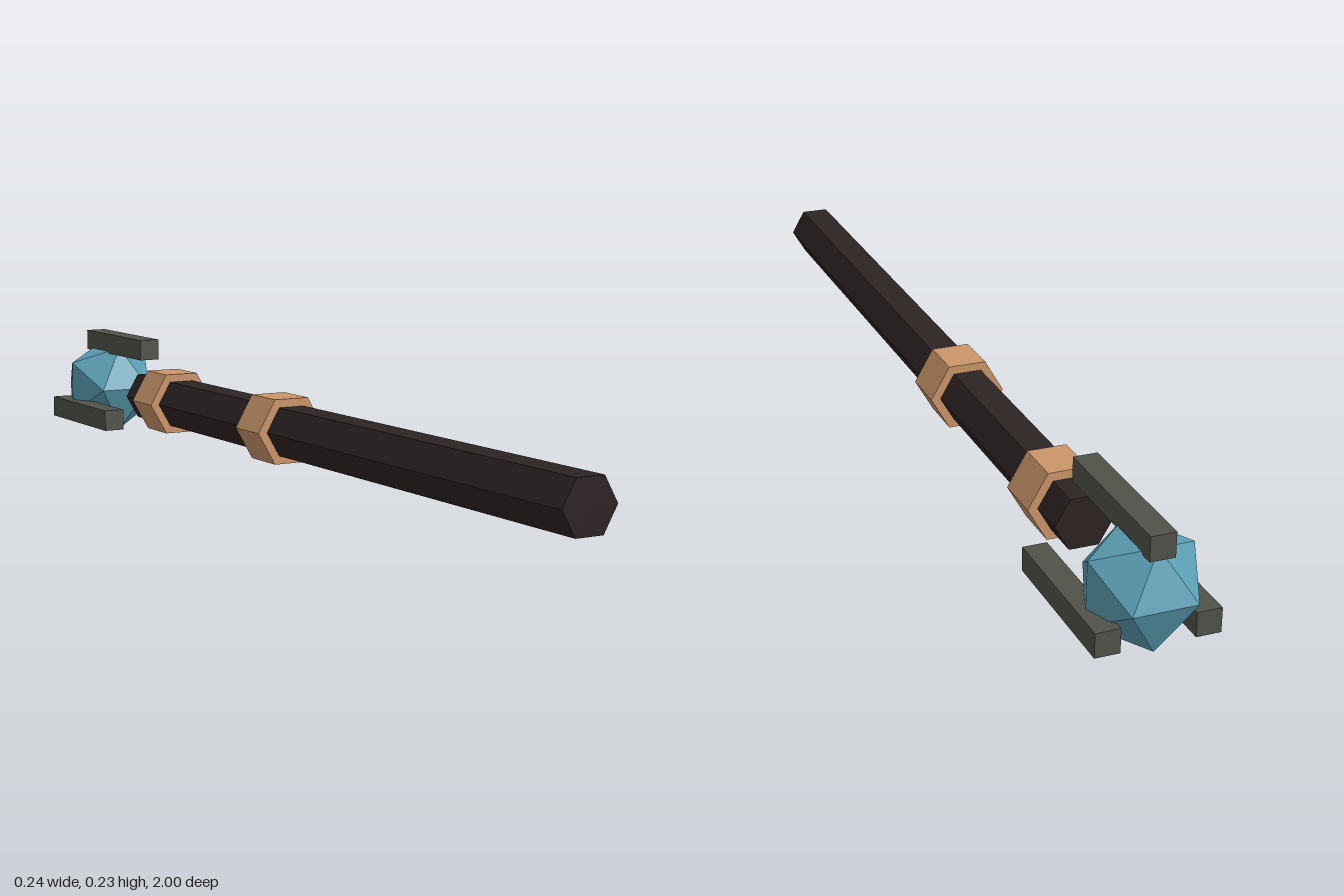
import * as THREE from 'three';

const AXIS_Y = 0.1;

function material(name, color) {
  const m = new THREE.MeshStandardMaterial({ color, flatShading: true });
  m.name = name;
  return m;
}

export function createModel() {
  const group = new THREE.Group();
  group.name = 'staff';

  const darkWood = material('darkWood', 0x2d2323);
  const copper = material('copper', 0xcb966a);
  const greyMetal = material('greyMetal', 0x50524a);
  const blueCrystal = material('blueCrystal', 0x5a9db3);

  function add(name, geometry, mat, x, y, z) {
    const mesh = new THREE.Mesh(geometry, mat);
    mesh.name = name;
    mesh.position.set(x, y, z);
    group.add(mesh);
  }

  // Hexagonal prism lying along z, with corners on the left and right
  function hexPrism(name, radius, zFront, zBack, mat) {
    const geometry = new THREE.CylinderGeometry(radius, radius, zFront - zBack, 6);
    geometry.rotateY(Math.PI / 2).rotateX(Math.PI / 2);
    add(name, geometry, mat, 0, AXIS_Y + 0.001, (zFront + zBack) / 2);
  }

  // Shaft and its two bands
  hexPrism('shaft', 0.059, 1, -0.672, darkWood);
  hexPrism('middleBand', 0.079, 0.016, -0.084, copper);
  hexPrism('upperBand', 0.079, -0.496, -0.595, copper);

  // Three upright square prongs around the crystal
  ['topProng', 'rightProng', 'leftProng'].forEach((name, i) => {
    const a = Math.PI / 2 + (i * Math.PI * 2) / 3;
    add(name, new THREE.BoxGeometry(0.048, 0.048, 0.312), greyMetal,
      0.109 * Math.cos(a), AXIS_Y + 0.001 + 0.109 * Math.sin(a), -0.822);
  });

  // Floating crystal
  const crystal = new THREE.IcosahedronGeometry(0.1176).rotateZ(Math.PI / 2);
  add('crystal', crystal, blueCrystal, 0, AXIS_Y, -0.9);

  return group;
}
